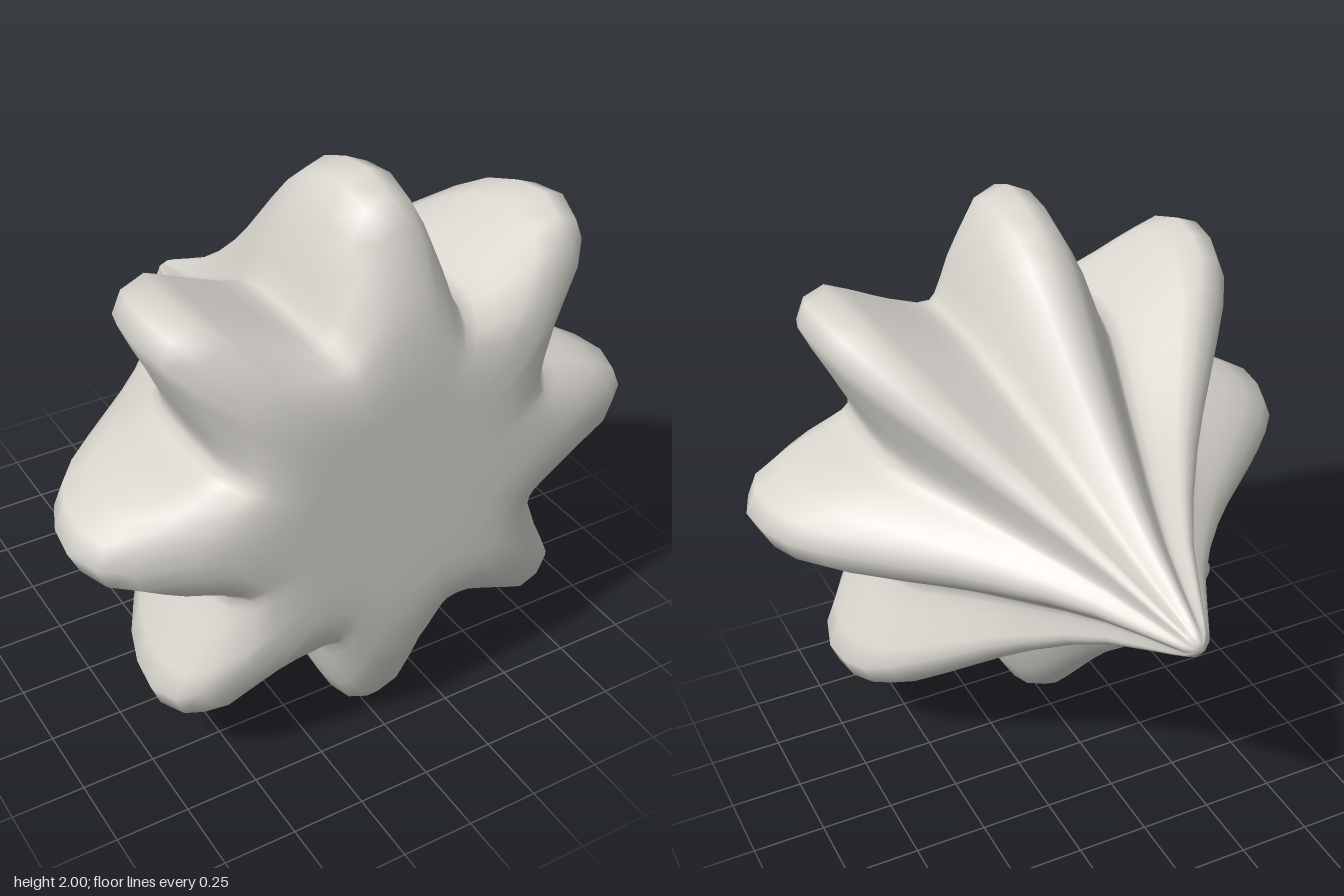
import * as THREE from 'three';

// Rings from the flat front to the pointed back: [z, ridge radius, valley radius]
const RINGS = [
  [0.81, 0.2, 0.2], [0.81, 0.36, 0.34], [0.808, 0.47, 0.42], [0.795, 0.59, 0.5],
  [0.77, 0.7, 0.555], [0.705, 0.88, 0.6], [0.64, 0.96, 0.615], [0.53, 1, 0.62],
  [0.41, 0.985, 0.62], [0.3, 0.94, 0.61], [0.2, 0.86, 0.575], [0.1, 0.755, 0.515],
  [0, 0.645, 0.45], [-0.1, 0.535, 0.39], [-0.2, 0.435, 0.33], [-0.35, 0.305, 0.24],
  [-0.49, 0.205, 0.165], [-0.63, 0.13, 0.105], [-0.74, 0.072, 0.062],
  [-0.785, 0.046, 0.043], [-0.805, 0.024, 0.023],
];
// Half lobe, from ridge to valley: [degrees from ridge, height between valley and ridge]
const STRAIGHT = [[0, 1], [4.7, 0.91], [8.6, 0.67], [12.5, 0.44], [16.5, 0.2], [19.8, 0.05], [22.5, 0]];
const DIAGONAL = [[0, 1.07], [4.4, 0.99], [7.1, 0.75], [10.1, 0.51], [14.2, 0.27], [18.5, 0.07], [22.5, 0]];

// Full outline of the eight lobes, counter-clockwise
function lobeOutline() {
  const outline = [];
  for (let k = 0; k < 8; k++) {
    const half = k % 2 ? DIAGONAL : STRAIGHT;
    const rising = half.slice(1).reverse().map(([d, h]) => [-d, h]);
    for (const [d, h] of [...rising, ...half.slice(0, -1)]) {
      outline.push([THREE.MathUtils.degToRad(k * 45 + d), h]);
    }
  }
  return outline;
}

function dollopGeometry() {
  const outline = lobeOutline();
  const n = outline.length;
  const positions = [0, 0, 0.81];
  const index = [];
  for (const [z, ridge, valley] of RINGS) {
    for (const [angle, h] of outline) {
      const r = valley + (ridge - valley) * h;
      positions.push(r * Math.cos(angle), r * Math.sin(angle), z);
    }
  }
  positions.push(0, 0, -0.812);
  const last = positions.length / 3 - 1;
  const at = (i, j) => 1 + i * n + (j % n);
  for (let j = 0; j < n; j++) {
    index.push(0, at(0, j), at(0, j + 1));
    for (let i = 0; i < RINGS.length - 1; i++) {
      const a = at(i, j), b = at(i + 1, j), c = at(i + 1, j + 1), d = at(i, j + 1);
      index.push(a, b, c, a, c, d);
    }
    index.push(at(RINGS.length - 1, j), last, at(RINGS.length - 1, j + 1));
  }
  const geometry = new THREE.BufferGeometry();
  geometry.setAttribute('position', new THREE.Float32BufferAttribute(positions, 3));
  geometry.setIndex(index);
  geometry.computeVertexNormals();
  return geometry;
}

export function createModel() {
  const model = new THREE.Group();
  model.name = 'starDollop';
  const cream = new THREE.MeshStandardMaterial({ color: 0xd9d6cf });
  cream.name = 'cream';
  // Eight-lobed body tapering to a point at the back
  const body = new THREE.Mesh(dollopGeometry(), cream);
  body.name = 'lobedBody';
  body.position.y = 1;
  model.add(body);
  return model;
}
